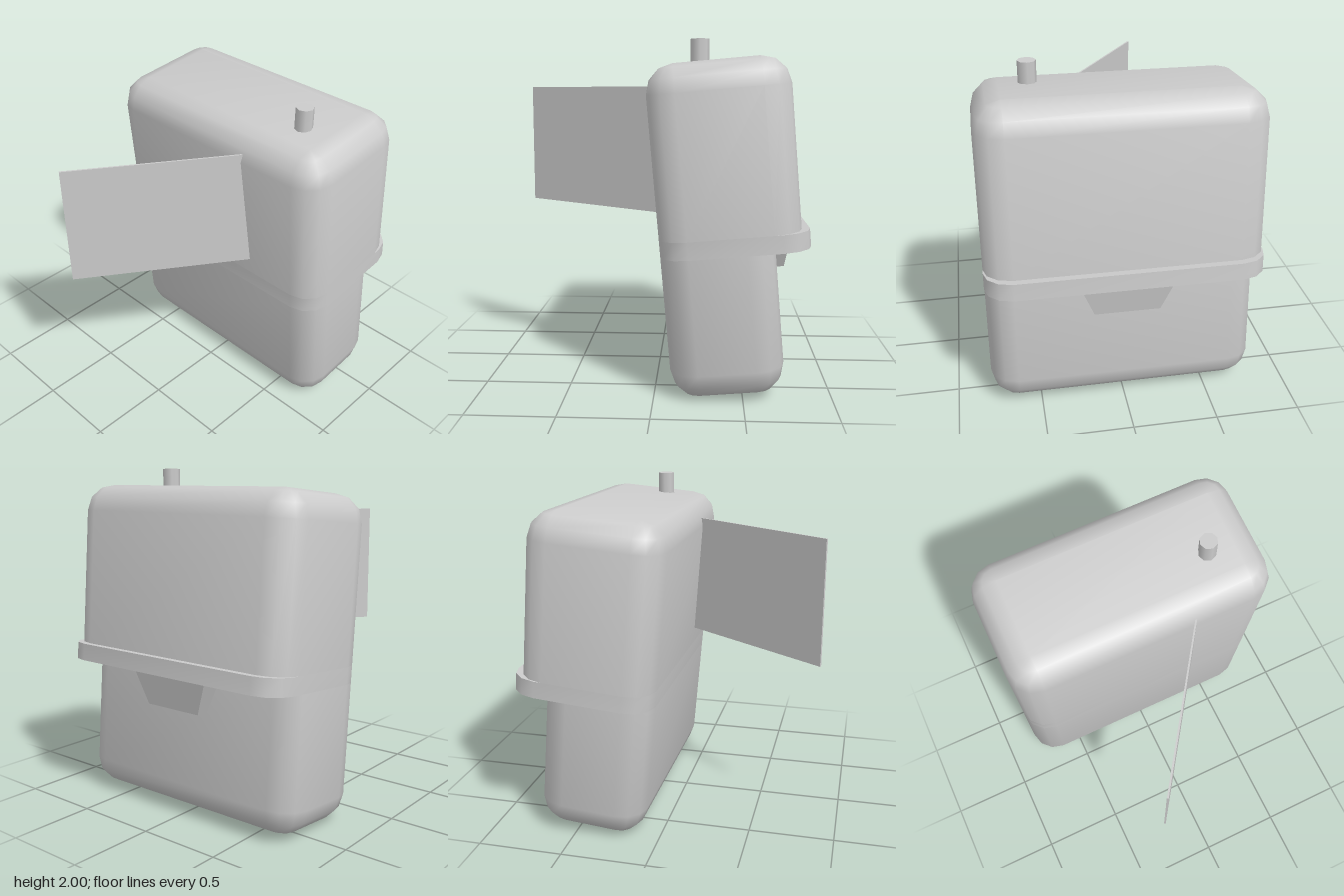
import * as THREE from 'three';
import { toCreasedNormals } from 'three/addons/utils/BufferGeometryUtils.js';

const R = 0.16, SEG = 3, HALF = 0.795, H = 1.865;
const LOWER = 0.64, RIM = 0.835, UPPER = 0.79; // depths, measured back from the front face
const RIM_Y0 = 0.81, RIM_Y1 = 0.91;

// Rounded rectangle at height y, counter-clockwise from above; inset shrinks it inside its corner radius
function ring(y, depth, inset = 0) {
  const r = R - inset, points = [];
  const corners = [[1, -depth + R], [-1, -depth + R], [-1, -R], [1, -R]];
  corners.forEach(([side, z], c) => {
    for (let i = 0; i <= SEG; i++) {
      const t = (c + i / SEG) * Math.PI / 2;
      points.push([side * (HALF - R) + r * Math.cos(t), y, z - r * Math.sin(t)]);
    }
  });
  return points;
}

// Skin a stack of rings from bottom to top, with optional flat ends
function loft(rings, capBottom, capTop) {
  const pos = [], n = rings[0].length;
  const tri = (...p) => p.forEach(v => pos.push(...v));
  for (let k = 0; k + 1 < rings.length; k++) {
    for (let i = 0; i < n; i++) {
      const j = (i + 1) % n, a = rings[k], b = rings[k + 1];
      tri(a[i], a[j], b[j]);
      tri(a[i], b[j], b[i]);
    }
  }
  const bottom = rings[0], top = rings[rings.length - 1];
  for (let i = 1; i < n - 1; i++) {
    if (capBottom) tri(bottom[0], bottom[i + 1], bottom[i]);
    if (capTop) tri(top[0], top[i], top[i + 1]);
  }
  const g = new THREE.BufferGeometry();
  g.setAttribute('position', new THREE.Float32BufferAttribute(pos, 3));
  return toCreasedNormals(g, 0.7);
}

// Rings of the quarter-round along the bottom (dir 1) or top (dir -1) edge, starting at the flat end
function fillet(y, depth, dir) {
  const rings = [];
  for (let i = 0; i <= SEG; i++) {
    const a = (1 - i / SEG) * Math.PI / 2;
    // keep a sliver of radius so the end ring does not collapse
    const inset = Math.min(R * (1 - Math.cos(a)), R - 0.002);
    rings.push(ring(y + dir * R * (1 - Math.sin(a)), depth, inset));
  }
  return dir > 0 ? rings : rings.reverse();
}

// Latch block, narrower and shallower at its lower end
function latchGeometry() {
  const g = new THREE.BoxGeometry(1, 1, 1).toNonIndexed();
  const p = g.attributes.position;
  for (let i = 0; i < p.count; i++) {
    const top = p.getY(i) > 0, back = p.getZ(i) < 0;
    const x = Math.sign(p.getX(i)) * (top ? 0.28 : 0.19);
    const z = back ? (top ? -0.77 : -0.715) : -0.6;
    p.setXYZ(i, x, top ? RIM_Y0 + 0.02 : 0.607, z);
  }
  g.computeVertexNormals();
  return g;
}

export function createModel() {
  const model = new THREE.Group();
  const material = new THREE.MeshStandardMaterial({ color: 0xcccccc });
  const add = (parent, name, geometry) => {
    const mesh = new THREE.Mesh(geometry, material);
    mesh.name = name;
    parent.add(mesh);
    return mesh;
  };

  // Case leaning slightly forward
  const body = new THREE.Group();
  body.name = 'case';
  body.rotation.x = THREE.MathUtils.degToRad(5);
  body.position.set(0, -0.01, -0.105);
  model.add(body);

  add(body, 'lowerCase', loft([...fillet(0, LOWER, 1), ring(RIM_Y0, LOWER)], true, false));
  // Overhanging rim: underside step, band and upper ledge
  add(body, 'flapRim', loft([
    ring(RIM_Y0, LOWER), ring(RIM_Y0, RIM), ring(RIM_Y1, RIM), ring(RIM_Y1, UPPER),
  ], false, false));
  add(body, 'topFlap', loft([ring(RIM_Y1, UPPER), ...fillet(H, UPPER, -1)], false, true));
  add(body, 'latch', latchGeometry());

  // Upright panel set diagonally into the front
  const start = new THREE.Vector2(-0.3, 0.86), end = new THREE.Vector2(0.335, -0.05);
  const span = end.clone().sub(start);
  const panel = add(model, 'sidePanel', new THREE.BoxGeometry(span.length(), 0.74, 0.01));
  panel.position.set((start.x + end.x) / 2, 1.37, (start.y + end.y) / 2);
  panel.rotation.y = Math.atan2(-span.y, span.x);

  // Short peg on top
  const peg = add(model, 'topPeg', new THREE.CylinderGeometry(0.052, 0.052, 0.22, 8));
  peg.position.set(0.475, 1.89, -0.247);

  return model;
}
